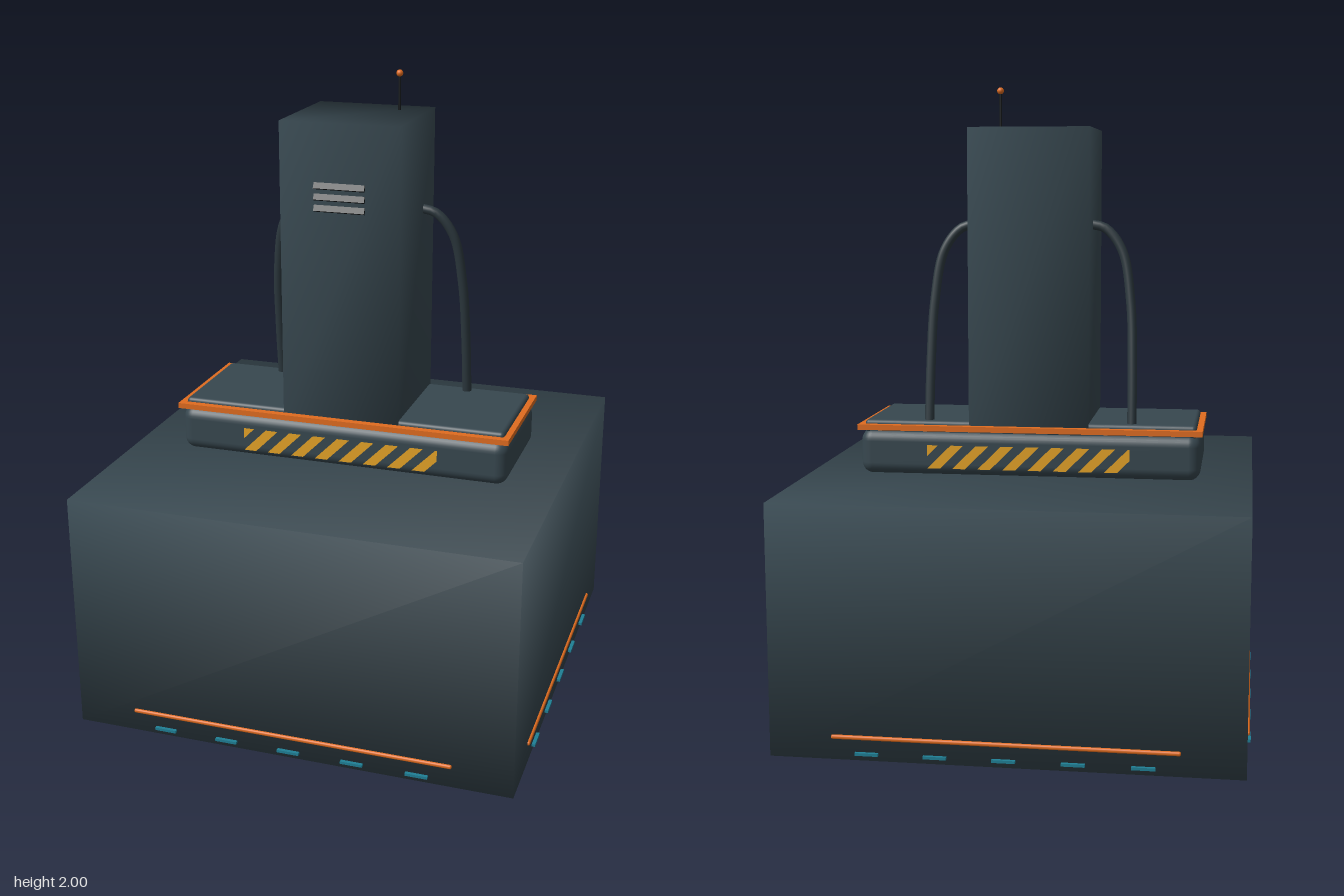
import * as THREE from 'three';
import { mergeVertices } from 'three/addons/utils/BufferGeometryUtils.js';
import { RoundedBoxGeometry } from 'three/addons/geometries/RoundedBoxGeometry.js';

const material = (name, color, side = THREE.FrontSide) => {
  const m = new THREE.MeshStandardMaterial({ color, side });
  m.name = name;
  return m;
};

// Box whose corner normals are shared, giving soft shading across the edges
function softBox(w, h, d) {
  let g = new THREE.BoxGeometry(w, h, d);
  g.deleteAttribute('normal');
  g.deleteAttribute('uv');
  g = mergeVertices(g);
  g.computeVertexNormals();
  return g;
}

// Slanted stripes clipped to a rectangle centred on the origin
function stripeShapes(w, h, period, width) {
  const shapes = [];
  const clip = (pts, limit, sign) => {
    const out = [];
    pts.forEach((a, i) => {
      const b = pts[(i + 1) % pts.length];
      const da = sign * (limit - a.x), db = sign * (limit - b.x);
      if (da >= 0) out.push(a);
      if (da * db < 0) out.push(a.clone().lerp(b, da / (da - db)));
    });
    return out;
  };
  for (let x = -w / 2 - period; x < w / 2; x += period) {
    let pts = [[x, -h / 2], [x + width, -h / 2], [x + width + h, h / 2], [x + h, h / 2]]
      .map(([px, py]) => new THREE.Vector2(px, py));
    pts = clip(clip(pts, w / 2, 1), -w / 2, -1);
    if (pts.length > 2) shapes.push(new THREE.Shape(pts));
  }
  return shapes;
}

export function createModel() {
  const model = new THREE.Group();
  model.name = 'machineHead';
  const hull = material('slate hull', 0x37474f);
  const dark = material('dark hose', 0x2c383e);
  const black = material('black metal', 0x15191b);
  const orange = material('orange trim', 0xe06c1f);
  const yellow = material('hazard yellow', 0xe5a326, THREE.DoubleSide);
  const teal = material('teal light', 0x1f7f95);

  const add = (name, geometry, mat, x = 0, y = 0, z = 0, parent = model) => {
    const mesh = new THREE.Mesh(geometry, mat);
    mesh.name = name;
    mesh.position.set(x, y, z);
    parent.add(mesh);
    return mesh;
  };

  // Main body and the stem below it
  add('body', softBox(1.31, 0.715, 1.31), hull, 0, 0.5125, 0);
  const stem = [[0, 0], [0.054, 0], [0.06, 0.008], [0.06, 0.17]].map(p => new THREE.Vector2(...p));
  add('stem', new THREE.LatheGeometry(stem, 24), hull);

  // Plinth, deck and tower
  add('plinth', new RoundedBoxGeometry(1.01, 0.135, 0.385, 4, 0.035), hull, 0, 0.935, 0);
  add('deck', new RoundedBoxGeometry(0.985, 0.04, 0.355, 3, 0.012), hull, 0, 1.01, 0);
  add('tower', softBox(0.355, 0.9, 0.355), hull, 0, 1.435, 0);

  // Orange rim around the deck
  for (const s of [-1, 1]) {
    add('rimLong', new THREE.BoxGeometry(1.02, 0.016, 0.022), orange, 0, 1.01, s * 0.189);
    add('rimShort', new THREE.BoxGeometry(0.02, 0.016, 0.4), orange, s * 0.5, 1.01, 0);
  }

  // Hazard stripes on the front and back of the plinth
  const stripes = new THREE.ShapeGeometry(stripeShapes(0.6, 0.07, 0.075, 0.038));
  for (const s of [1, -1]) {
    const panel = add('hazardStripes', stripes, yellow, 0, 0.925, s * 0.196);
    if (s < 0) panel.rotation.y = Math.PI;
  }

  // Trim line and row of lights on each side of the body
  for (let i = 0; i < 4; i++) {
    const side = new THREE.Group();
    side.name = 'sideTrim';
    side.rotation.y = i * Math.PI / 2;
    add('trimLine', new RoundedBoxGeometry(0.96, 0.012, 0.012, 2, 0.005), orange, 0, 0.22, 0.656, side);
    for (let k = -2; k <= 2; k++) {
      add('light', new THREE.BoxGeometry(0.065, 0.008, 0.014), teal, k * 0.19, 0.175, 0.658, side);
    }
    model.add(side);
  }

  // Tilted vent slats on the tower front
  for (let i = 0; i < 3; i++) {
    const slat = add('ventSlat', new THREE.BoxGeometry(0.15, 0.018, 0.008), black, 0, 1.645 + i * 0.032, 0.181);
    slat.rotation.x = -0.5;
  }

  // Hoses from the tower sides down to the deck
  for (const s of [-1, 1]) {
    const path = new THREE.CatmullRomCurve3([
      [0.165, 1.608, -0.07], [0.215, 1.595, -0.073], [0.265, 1.53, -0.082],
      [0.292, 1.38, -0.1], [0.3, 1.2, -0.125], [0.302, 1.01, -0.15],
    ].map(([x, y, z]) => new THREE.Vector3(s * x, y, z)));
    add('hose', new THREE.TubeGeometry(path, 40, 0.014, 12), dark);
  }

  // Antenna with a tip ball
  add('antenna', new THREE.CylinderGeometry(0.004, 0.004, 0.11, 8), black, 0.092, 1.935, -0.098);
  add('antennaTip', new THREE.SphereGeometry(0.01, 16, 12), orange, 0.092, 1.99, -0.098);

  return model;
}
